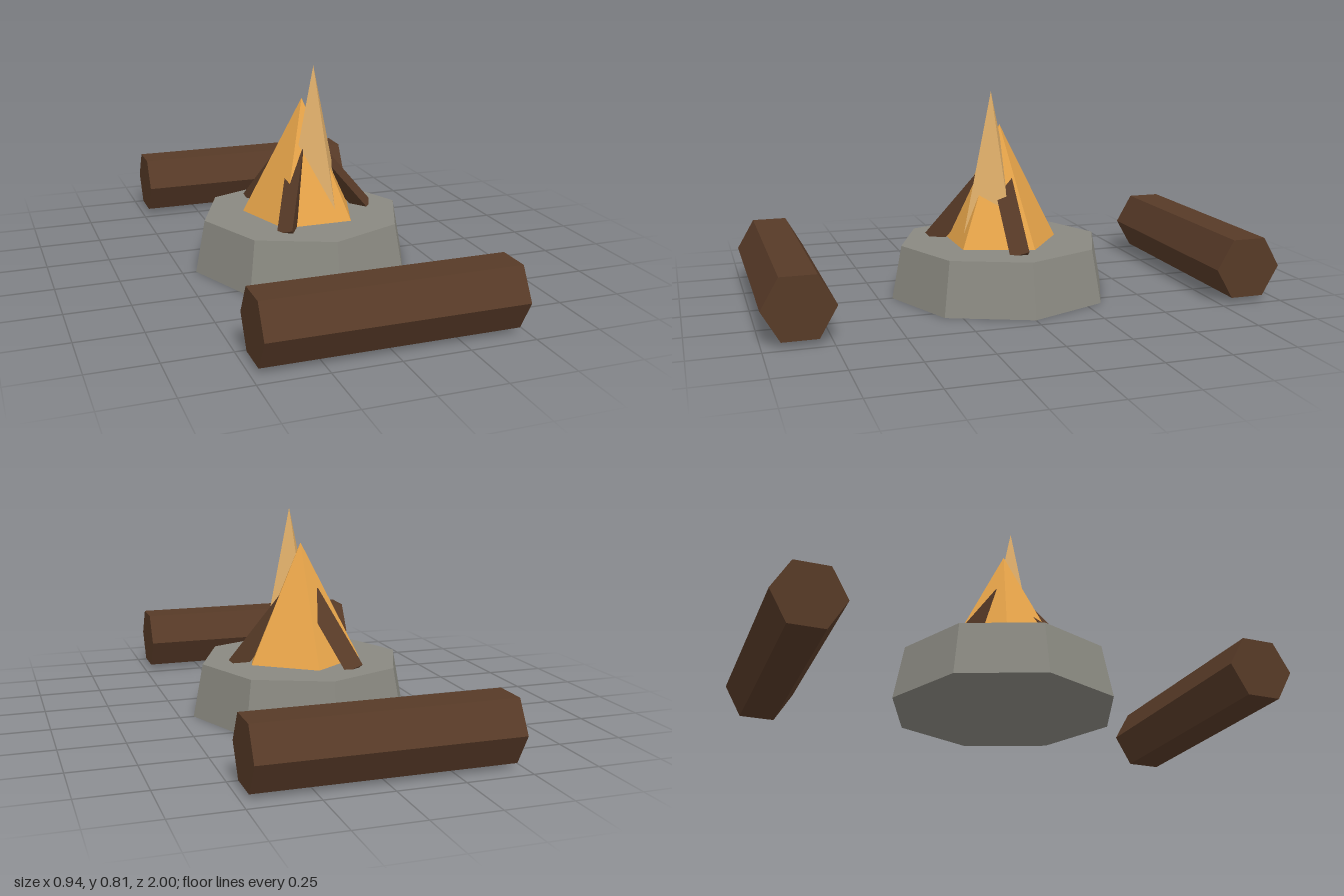
import * as THREE from 'three';

export function createModel() {
  const model = new THREE.Group();
  model.name = 'campfire';

  const material = (name, color) => {
    const m = new THREE.MeshStandardMaterial({ color, flatShading: true });
    m.name = name;
    return m;
  };
  const stone = material('stone grey', 0x8a8981);
  const wood = material('dark wood', 0x573a27);
  const amber = material('amber flame', 0xe8a54a);
  const pale = material('pale flame', 0xdfae6a);

  const add = (parent, name, geometry, mat) => {
    const mesh = new THREE.Mesh(geometry, mat);
    mesh.name = name;
    parent.add(mesh);
    return mesh;
  };

  const baseTop = 0.21;

  // Eight-sided stone hearth, slightly tapered
  add(model, 'stoneBase', new THREE.CylinderGeometry(0.405, 0.445, baseTop, 8), stone)
    .position.y = baseTop / 2;

  // Two hexagonal seating logs, front and back
  for (const side of [1, -1]) {
    const log = add(model, side > 0 ? 'frontLog' : 'backLog',
      new THREE.CylinderGeometry(0.133, 0.133, 0.945, 6), wood);
    log.rotation.z = Math.PI / 2;
    log.position.set(0, 0.136, side * 0.867);
  }

  // Wide five-sided flame with one corner pointing back
  const mainFlame = add(model, 'mainFlame', new THREE.ConeGeometry(0.237, 0.467, 5), amber);
  mainFlame.rotation.y = Math.PI;
  mainFlame.position.y = baseTop + 0.467 / 2;

  // Slim, taller four-sided flame, off centre
  const tallFlame = add(model, 'tallFlame', new THREE.ConeGeometry(0.147, 0.602, 4), pale);
  tallFlame.rotation.y = 0.35;
  tallFlame.position.set(0.033, baseTop + 0.301, 0.045);

  // Three triangular sticks leaning in on the flame
  const lean = 0.7, length = 0.36;
  for (let i = 0; i < 3; i++) {
    const pivot = new THREE.Group();
    pivot.name = 'kindling' + (i + 1);
    pivot.rotation.y = i * Math.PI * 2 / 3;
    const stick = add(pivot, 'stick', new THREE.CylinderGeometry(0.044, 0.044, length, 3), wood);
    stick.rotation.z = lean;
    stick.position.set(
      0.276 - Math.sin(lean) * length / 2,
      0.2 + Math.cos(lean) * length / 2,
      0);
    model.add(pivot);
  }

  return model;
}
